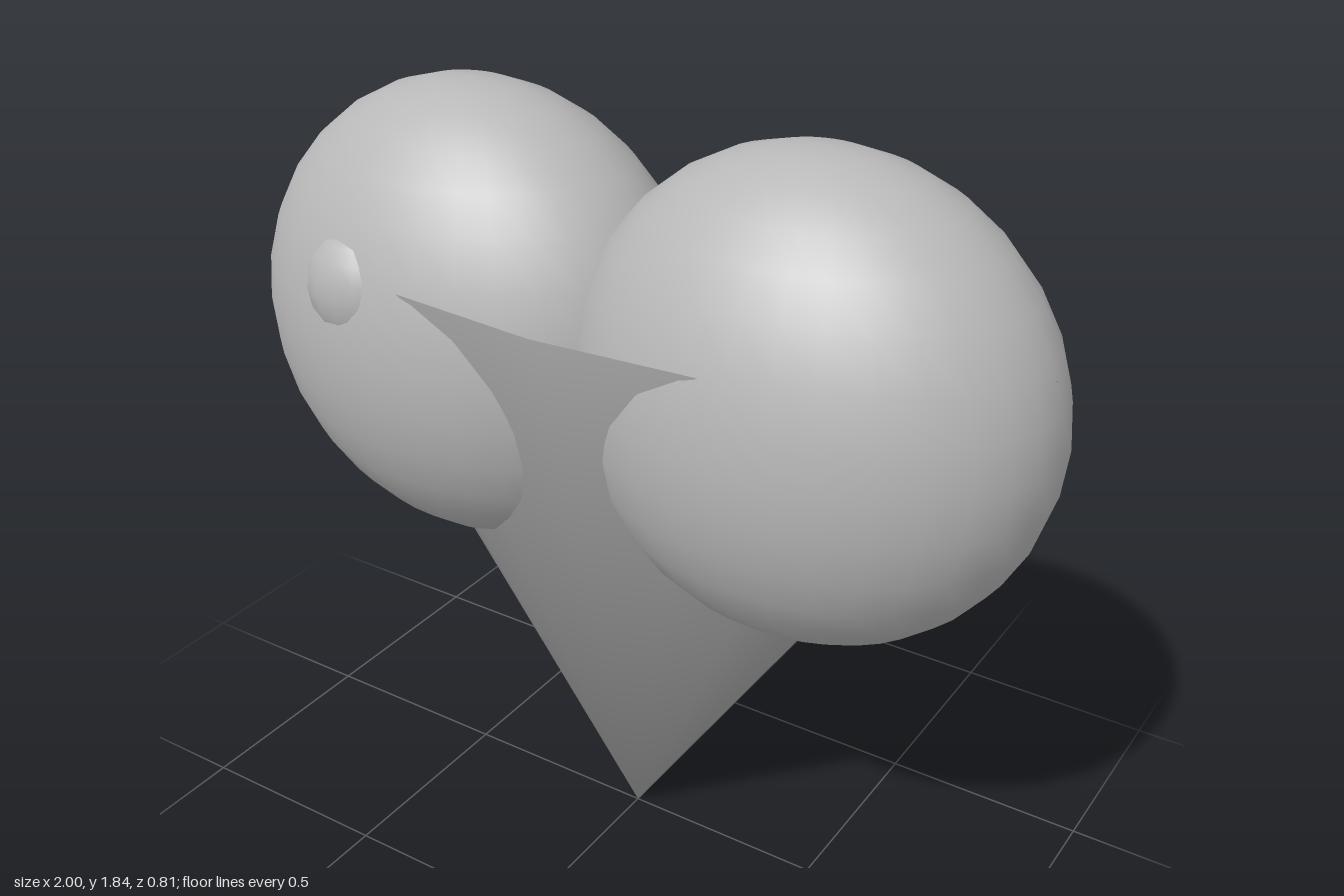
import * as THREE from 'three';
import { mergeVertices } from 'three/addons/utils/BufferGeometryUtils.js';

export function createModel() {
  const group = new THREE.Group();
  const gray = new THREE.MeshStandardMaterial({ color: 0xb8b8b8, side: THREE.DoubleSide });
  gray.name = 'plain gray';

  const add = (name, geometry, position, scale) => {
    const mesh = new THREE.Mesh(geometry, gray);
    mesh.name = name;
    mesh.position.set(...position);
    mesh.scale.set(...scale);
    group.add(mesh);
  };

  // Two flattened lobes that meet at the middle
  const ball = new THREE.SphereGeometry(1, 32, 16);
  for (const [name, side] of [['leftLobe', 1], ['rightLobe', -1]]) {
    add(name, ball, [side * 0.44, 1.287, 0], [0.56, 0.556, 0.4]);
  }

  // Open, flattened cone standing on its tip, smooth to the apex
  const height = 1.47;
  let cone = new THREE.ConeGeometry(1, height, 16, 1, true);
  cone.rotateX(Math.PI);
  cone.translate(0, height / 2, 0);
  cone.scale(0.97, 1, 0.405);
  cone.deleteAttribute('uv');
  cone.deleteAttribute('normal');
  cone = mergeVertices(cone);
  cone.computeVertexNormals();
  add('pointedBase', cone, [0, 0, 0], [1, 1, 1]);

  // Small bump on the front of the right lobe
  add('frontBump', new THREE.SphereGeometry(1, 16, 10), [-0.54, 1.42, 0.298], [0.14, 0.14, 0.1]);

  return group;
}
